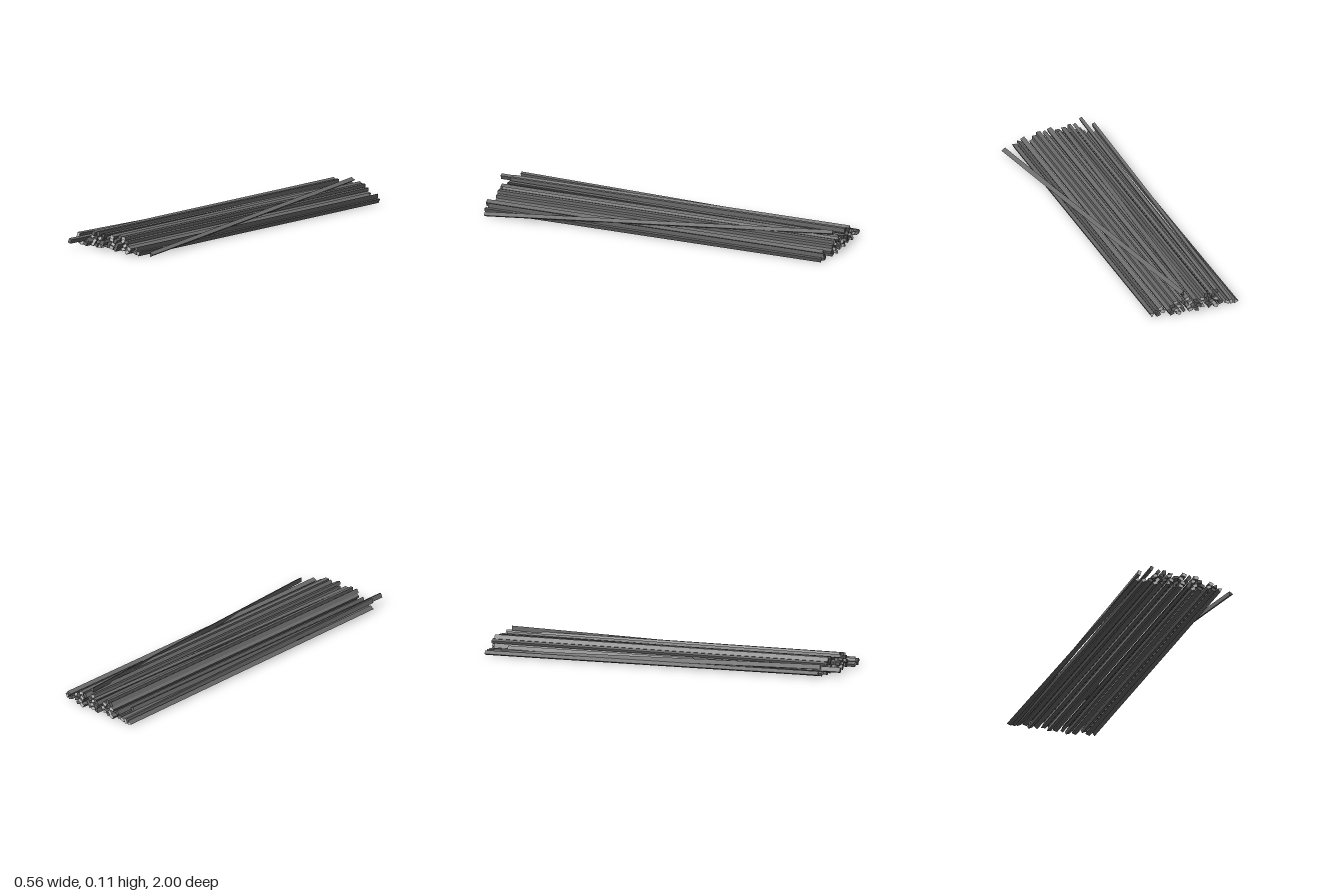
import * as THREE from 'three';

export function createModel() {
  const pile = new THREE.Group();
  pile.name = 'stickPile';
  const dark = new THREE.MeshStandardMaterial({ color: 0x6c6c6c, flatShading: true });
  const pale = new THREE.MeshStandardMaterial({ color: 0xcccccc, flatShading: true });

  // One straight stick from its front end to its back end, turned about its length
  function stick(name, front, back, degrees, triangular, paleEnds) {
    const a = new THREE.Vector3(...front), b = new THREE.Vector3(...back);
    const length = a.distanceTo(b);
    const end = paleEnds ? pale : dark;
    const geometry = triangular
      ? new THREE.CylinderGeometry(0.0145, 0.0145, length, 3).rotateX(Math.PI / 2)
      : new THREE.BoxGeometry(0.0245, 0.0165, length);
    const materials = triangular ? [dark, end, end] : [dark, dark, dark, dark, end, end];
    const mesh = new THREE.Mesh(geometry, materials);
    mesh.name = name;
    mesh.position.copy(a).add(b).multiplyScalar(0.5);
    mesh.lookAt(a);
    mesh.rotateZ(THREE.MathUtils.degToRad(degrees));
    pile.add(mesh);
  }

  // Stacked layers: [x, turn in degrees, 1 if three-sided]
  const layers = [
    { y: 0.022, sticks: [
      [-0.217, 25], [-0.185, -18], [-0.15, 28], [-0.118, 20, 1], [-0.085, 60, 1], [-0.045, 75, 1], [-0.013, -15],
      [0.024, 55], [0.058, 25], [0.092, -18], [0.128, 27], [0.162, -20], [0.193, 5, 1]] },
    { y: 0.041, sticks: [
      [-0.17, 65, 1], [-0.138, 48], [-0.104, 30], [-0.07, -20], [-0.036, 28], [-0.002, -18],
      [0.033, 58], [0.07, 26], [0.105, -20], [0.14, -25], [0.173, 25, 1]] },
    { y: 0.063, sticks: [
      [-0.15, 25], [-0.118, 30, 1], [-0.082, 20], [-0.048, 60], [-0.012, -20], [0.024, 50], [0.058, 28], [0.091, 0]] },
    { y: 0.081, sticks: [[-0.138, 58], [0.001, -18], [0.035, 55], [0.07, 0]] },
  ];
  layers.forEach(({ y, sticks }, row) => sticks.forEach(([x, turn, triangular], i) => {
    // The right-hand end of the pile sits a little further forward
    const shift = x > 0.11 ? 0.025 : 0;
    const stagger = [0, 0.012, -0.01][(i + row) % 3];
    const front = [x, y, 0.9 + shift + stagger], back = [x, y, -0.98 + shift + stagger];
    stick(`layer${row + 1}Stick${i + 1}`, front, back, turn, triangular, (i + row) % 2 === 0);
  }));

  // Sticks that lie askew
  stick('outerStick', [-0.25, 0.024, 0.89], [-0.266, 0.017, -0.98], 40, true, true);
  stick('upperOuterStick', [-0.242, 0.06, 0.9], [-0.24, 0.02, -0.98], 75, false, true);
  stick('protrudingStick', [-0.213, 0.046, 1], [-0.198, 0.038, -0.88], 65, false, false);
  stick('topStick', [-0.104, 0.083, 0.9], [-0.102, 0.081, -0.97], 88, false, false);
  stick('slantedStick', [-0.07, 0.077, 0.9], [-0.033, 0.077, -0.99], 0, true, false);
  stick('centreStick', [-0.05, 0.052, 0.93], [-0.048, 0.052, -1], 10, false, false);
  stick('crossingStick', [0.261, 0.021, 0.9], [0.02, 0.108, -0.95], 90, true, false);
  return pile;
}
